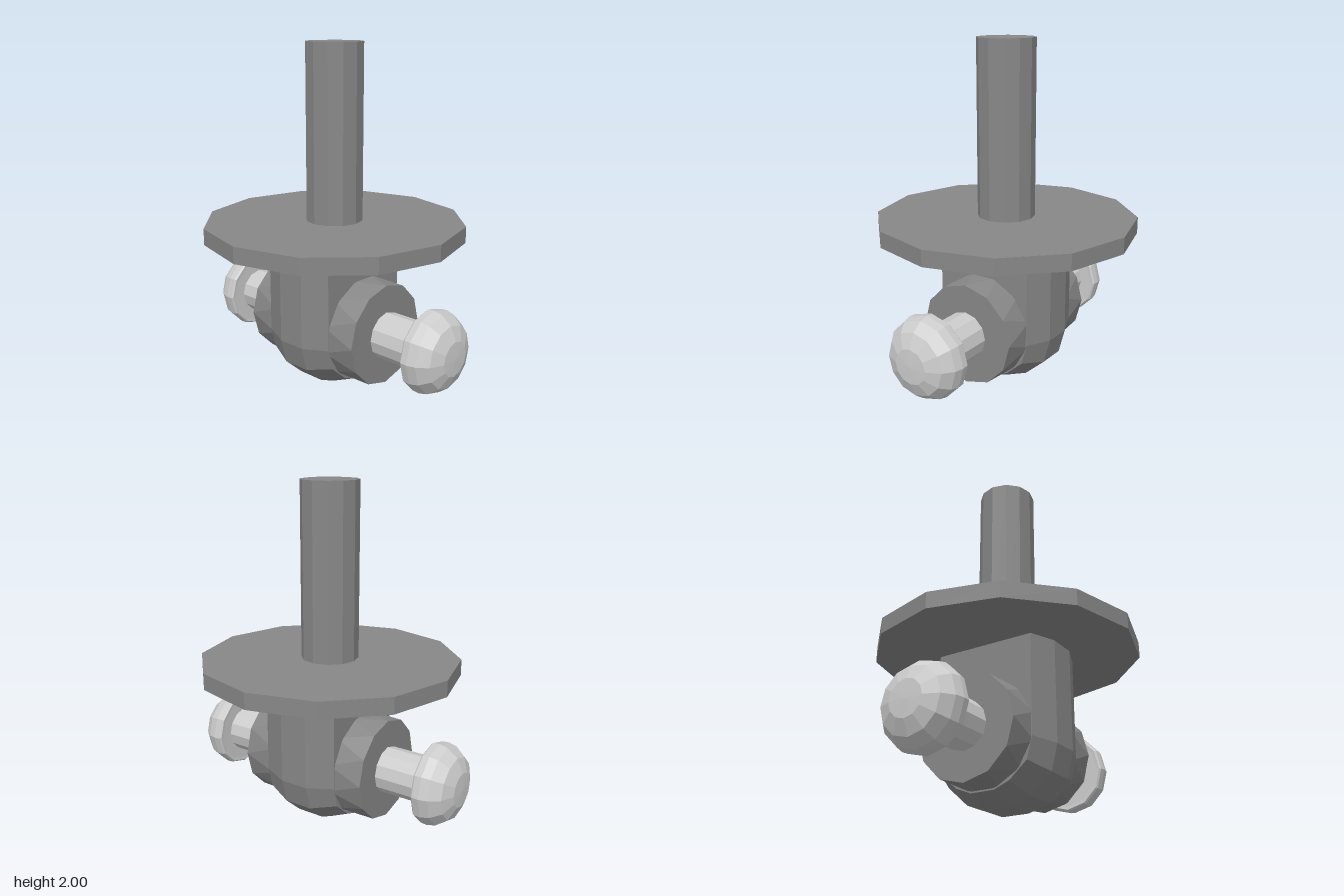
import * as THREE from 'three';

const AXIS_Y = 0.368; // height of the cross pin

const darkGrey = new THREE.MeshStandardMaterial({ color: 0x878787, flatShading: true });
const lightGrey = new THREE.MeshStandardMaterial({ color: 0xcccccc, flatShading: true });

function part(name, geometry, material, parent) {
  const mesh = new THREE.Mesh(geometry, material);
  mesh.name = name;
  parent.add(mesh);
}

// cylinder along y between two heights
function upright(radius, y0, y1) {
  return new THREE.CylinderGeometry(radius, radius, y1 - y0, 12).translate(0, (y0 + y1) / 2, 0);
}

// lathe of [radius, x] points, turned to lie along +x
function lathedAlongX(points) {
  const profile = points.map(([r, x]) => new THREE.Vector2(r, x));
  return new THREE.LatheGeometry(profile, 12).rotateZ(-Math.PI / 2);
}

// U-shaped block: side profile lofted across x, bulging in the middle
function headGeometry() {
  const half = [[0.363, 0.89], [0.363, 0.3], [0.325, 0.155], [0.2, 0.045], [0.085, 0]];
  const profile = [...half, ...half.map(([z, y]) => [-z, y]).reverse()];
  const slices = [[-0.237, 0.83], [-0.085, 1], [0.085, 1], [0.237, 0.83]];
  const rings = slices.map(([x, s]) => profile.map(([z, y]) =>
    [x, y > AXIS_Y ? y : AXIS_Y + (y - AXIS_Y) * s, z * s]));
  const out = [];
  const n = profile.length;
  for (let j = 0; j < n; j++) {
    const k = (j + 1) % n;
    for (let i = 0; i < rings.length - 1; i++) {
      const a = rings[i][j], b = rings[i][k], c = rings[i + 1][k], d = rings[i + 1][j];
      out.push(...a, ...b, ...c, ...a, ...c, ...d);
    }
    // flat cheeks
    const first = rings[0], last = rings[rings.length - 1];
    out.push(first[0][0], AXIS_Y, 0, ...first[k], ...first[j]);
    out.push(last[0][0], AXIS_Y, 0, ...last[j], ...last[k]);
  }
  const geometry = new THREE.BufferGeometry();
  geometry.setAttribute('position', new THREE.Float32BufferAttribute(out, 3));
  geometry.computeVertexNormals();
  return geometry;
}

// hub whose inner end is turned half a facet, giving triangular sides
function hubGeometry() {
  const geometry = new THREE.CylinderGeometry(0.297, 0.307, 0.205, 12);
  const p = geometry.attributes.position;
  const v = new THREE.Vector3();
  const up = new THREE.Vector3(0, 1, 0);
  for (let i = 0; i < p.count; i++) {
    v.fromBufferAttribute(p, i);
    if (v.y < 0) v.applyAxisAngle(up, Math.PI / 12);
    p.setXYZ(i, v.x, v.y, v.z);
  }
  geometry.rotateZ(-Math.PI / 2).translate(0.3025, 0, 0);
  geometry.computeVertexNormals();
  return geometry;
}

export function createModel() {
  const model = new THREE.Group();
  model.name = 'swivelMount';

  part('stem', upright(0.168, 0.97, 2), darkGrey, model);
  part('plate', upright(0.765, 0.885, 0.98), darkGrey, model);
  part('head', headGeometry(), darkGrey, model);

  // hub, pin and knob on each side
  for (const side of ['left', 'right']) {
    const arm = new THREE.Group();
    arm.name = side + 'Arm';
    arm.position.y = AXIS_Y;
    if (side === 'right') arm.rotation.y = Math.PI;
    part(side + 'Hub', hubGeometry(), darkGrey, arm);
    part(side + 'Pin', lathedAlongX([[0.135, 0.39], [0.135, 0.72]]), lightGrey, arm);
    part(side + 'Knob', lathedAlongX([
      [0, 0.69], [0.205, 0.687], [0.225, 0.685], [0.234, 0.695], [0.237, 0.735],
      [0.225, 0.785], [0.18, 0.845], [0.1, 0.88], [0, 0.885],
    ]), lightGrey, arm);
    model.add(arm);
  }
  return model;
}
